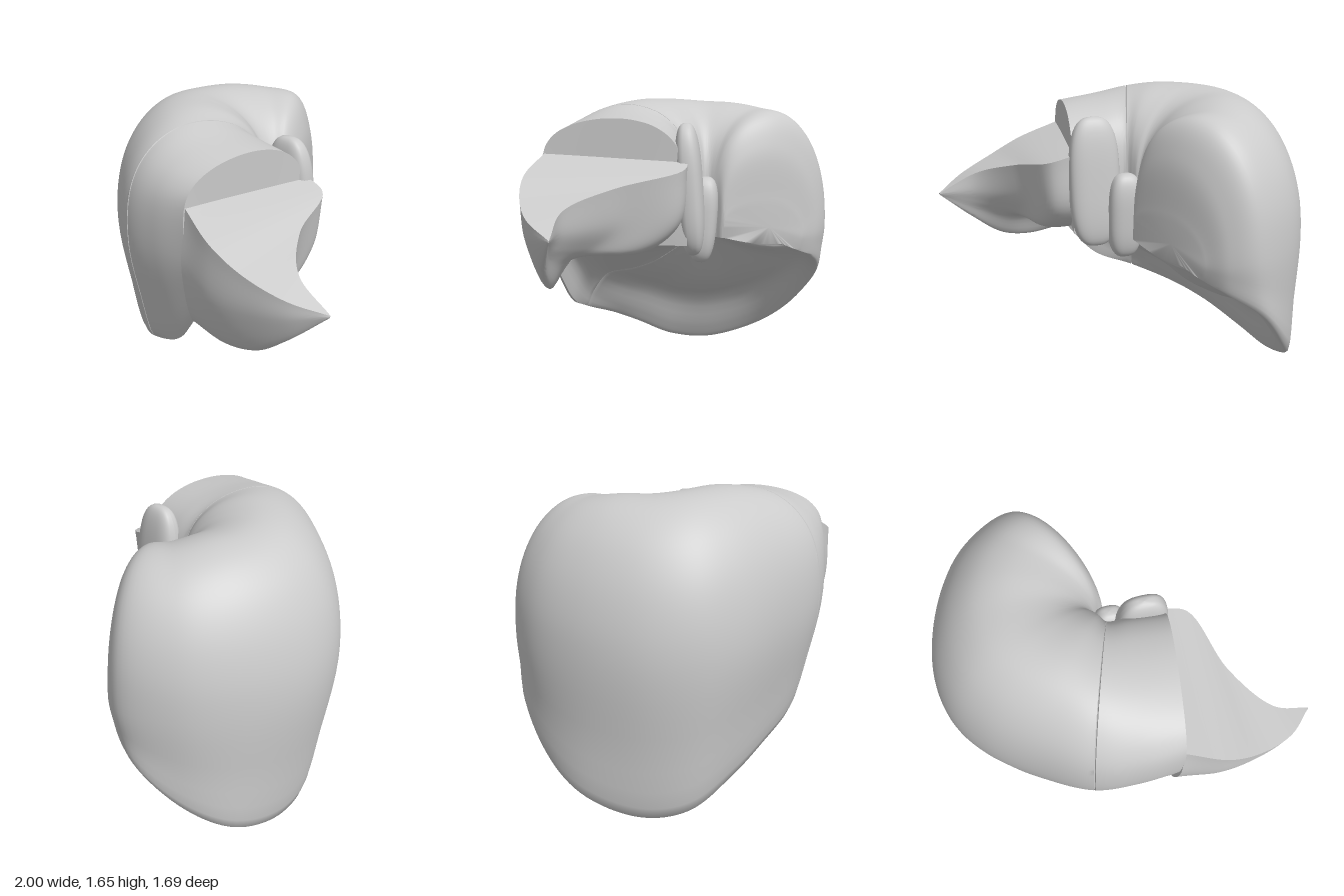
import * as THREE from 'three';
import { toCreasedNormals } from 'three/addons/utils/BufferGeometryUtils.js';

const V = (x, y, z) => new THREE.Vector3(x, y, z);
const mix = THREE.MathUtils.lerp;

// Smooth capped skin through a list of cross-sections (arrays of control points).
// Optional grooves are section positions where the skin is pinched in a little.
function loft(sections, around, perSpan, crease, grooves = []) {
  const rings = sections.map(s => new THREE.CatmullRomCurve3(s, false, 'centripetal').getPoints(around));
  const spans = sections.length - 1;
  const stops = [];
  for (let i = 0; i <= spans * perSpan; i++) stops.push(i / perSpan);
  grooves.forEach(g => stops.push(g - 0.02, g + 0.02));
  stops.sort((a, b) => a - b);
  const n = around + 1;
  const rails = [];
  for (let j = 0; j < n; j++) rails.push(new THREE.CatmullRomCurve3(rings.map(r => r[j])));

  const pos = [], idx = [];
  const centres = stops.map(t => {
    const row = rails.map(r => r.getPoint(t / spans));
    const c = row.reduce((a, p) => a.add(p), V(0, 0, 0)).divideScalar(n);
    if (grooves.includes(t)) row.forEach(p => p.lerp(c, 0.02));
    row.forEach(p => pos.push(p.x, p.y, p.z));
    return c;
  });
  for (let i = 0; i < stops.length - 1; i++) {
    for (let j = 0; j < n; j++) {
      const k = (j + 1) % n;
      const a = i * n + j, b = i * n + k, c = a + n, d = b + n;
      idx.push(a, b, c, b, d, c);
    }
  }
  // end caps
  const last = stops.length - 1, c0 = pos.length / 3;
  [centres[0], centres[last]].forEach(c => pos.push(c.x, c.y, c.z));
  for (let j = 0; j < n; j++) {
    const k = (j + 1) % n;
    idx.push(c0, k, j, c0 + 1, last * n + j, last * n + k);
  }
  const geo = new THREE.BufferGeometry();
  geo.setAttribute('position', new THREE.Float32BufferAttribute(pos, 3));
  geo.setIndex(idx);
  return toCreasedNormals(geo, crease);
}

// One radial slice of the shell: steeply up from the hinge, over the dome, down to
// the rim, then back to the hinge along the hollow underside.
function slice([hx, hz, ox, oz, eq, top, rx, ry, rz, power, bulge, arch]) {
  const pts = [], hy = 0.9, steps = 10;
  for (let k = 0; k <= steps; k++) {
    const a = Math.PI * k / steps, f = (1 - Math.cos(a)) / 2;
    const base = mix(hy, eq, f);
    const e = f < 0.5 ? Math.max(0.4, power * 0.65) : power;
    const lift = k === steps ? 0 : Math.pow(Math.sin(a), e);
    pts.push(V(mix(hx, ox, f) + bulge * 4 * f * (1 - f), base + (top - base) * lift, mix(hz, oz, f)));
  }
  const O = V(ox, eq, oz), R = V(rx, ry, rz), H = V(hx, hy - 0.06, hz);
  const lower = O.clone().lerp(R, 0.5);
  lower.x += (ox - rx) * 0.12;
  lower.z += (oz - rz) * 0.12;
  pts.push(lower, R);
  [[0.93, 0.1], [0.78, 0.4], [0.55, 0.5], [0.33, 0.64]].forEach(([f, h]) =>
    pts.push(V(mix(hx, rx, f) + bulge * 4 * f * (1 - f), mix(ry, H.y, mix(h, 1, arch)), mix(hz, rz, f))));
  pts.push(H);
  return pts;
}

export function createModel() {
  const group = new THREE.Group();
  const material = new THREE.MeshStandardMaterial({ color: 0xcccccc, side: THREE.DoubleSide });
  const add = (name, geometry) => {
    const mesh = new THREE.Mesh(geometry, material);
    mesh.name = name;
    group.add(mesh);
    return mesh;
  };

  // Shell slices, from the back round the side to the front collar:
  // hinge x z, outer x z, outer y, top y, rim x y z, roundness, sideways bulge, underside arch
  const slices = [
    [0.02, -0.22, -0.21, -0.69, 0.82, 1.02, -0.21, 0.74, -0.66, 1, 0.02, 0],
    [0.01, -0.2, -0.31, -0.8, 0.84, 1.36, -0.32, 0.68, -0.77, 0.95, 0.035, 0],
    [-0.02, -0.17, -0.46, -0.85, 0.87, 1.55, -0.51, 0.55, -0.81, 0.9, 0.02, 0],
    [-0.03, -0.15, -0.74, -0.69, 0.87, 1.59, -0.73, 0.28, -0.65, 0.95, 0, 0],
    [-0.04, -0.13, -0.92, -0.41, 0.86, 1.62, -0.87, 0.1, -0.42, 1, 0, 0],
    [-0.04, -0.12, -1.0, -0.06, 0.86, 1.63, -0.9, 0.0, -0.1, 1, 0, 0],
    [-0.04, -0.11, -0.95, 0.21, 0.88, 1.64, -0.85, 0.03, 0.15, 0.96, 0, 0],
    [-0.03, -0.1, -0.8, 0.42, 0.9, 1.645, -0.68, 0.16, 0.36, 0.9, 0, 0],
    [-0.02, -0.07, -0.52, 0.63, 0.95, 1.64, -0.5, 0.26, 0.5, 0.8, 0, 0],
    [0.0, -0.03, -0.25, 0.78, 1.0, 1.61, -0.25, 0.36, 0.64, 0.7, 0, 0.1],
    [0.1, -0.03, 0.0, 0.81, 1.05, 1.57, 0.0, 0.46, 0.68, 0.55, 0, 0.4],
    [0.31, -0.02, 0.22, 0.8, 1.08, 1.535, 0.2, 0.68, 0.73, 0.4, 0, 0.95],
  ];
  add('shell', loft(slices.map(slice), 80, 8, 0.9, [9]));

  // Pointed beak: flat sloping top, bulging front, hollowed inner side
  const beak = [
    [[0.22, 1.34, 0.78], [0.21, 1.0, 0.81], [0.2, 0.67, 0.72], [0.2, 0.79, 0.58],
      [0.2, 0.82, 0.2], [0.25, 0.97, 0.01], [0.27, 1.31, -0.03]],
    [[0.45, 1.24, 0.84], [0.43, 0.92, 0.83], [0.42, 0.63, 0.71], [0.42, 0.79, 0.6],
      [0.42, 0.82, 0.22], [0.42, 0.97, 0.04], [0.44, 1.26, 0.0]],
    [[0.65, 1.14, 0.82], [0.64, 0.92, 0.8], [0.61, 0.66, 0.69], [0.58, 0.79, 0.6],
      [0.55, 0.86, 0.47], [0.54, 0.98, 0.35], [0.58, 1.18, 0.34]],
    [[0.85, 1.05, 0.74], [0.84, 0.94, 0.73], [0.8, 0.79, 0.67], [0.78, 0.85, 0.64],
      [0.77, 0.9, 0.61], [0.77, 0.97, 0.58], [0.78, 1.09, 0.57]],
    [[1, 0.975, 0.6], [1, 0.97, 0.603], [0.998, 0.965, 0.6], [0.997, 0.966, 0.599],
      [0.996, 0.967, 0.598], [0.996, 0.97, 0.597], [0.997, 0.975, 0.597]],
  ];
  add('beak', loft(beak.map(s => s.map(p => V(...p))), 42, 10, 0.6));

  // Rounded lobes rolled around the hinge: position, radii, tilt
  const lobes = [
    ['hingeLobe', 0.19, 1.14, -0.03, 0.145, 0.37, 0.075, 0.06],
    ['innerHingeLobe', 0.03, 0.95, -0.1, 0.1, 0.25, 0.08, -0.08],
  ];
  lobes.forEach(([name, x, y, z, a, b, c, tilt]) => {
    const geo = new THREE.SphereGeometry(1, 32, 24);
    const p = geo.attributes.position;
    // square the ball off towards a soft block
    for (let i = 0; i < p.count; i++) {
      const q = [p.getX(i), p.getY(i), p.getZ(i)].map(v => Math.sign(v) * Math.pow(Math.abs(v), 0.7));
      p.setXYZ(i, q[0] * a, q[1] * b, q[2] * c);
    }
    geo.computeVertexNormals();
    const lobe = add(name, geo);
    lobe.position.set(x, y, z);
    lobe.rotation.x = tilt;
  });

  return group;
}
